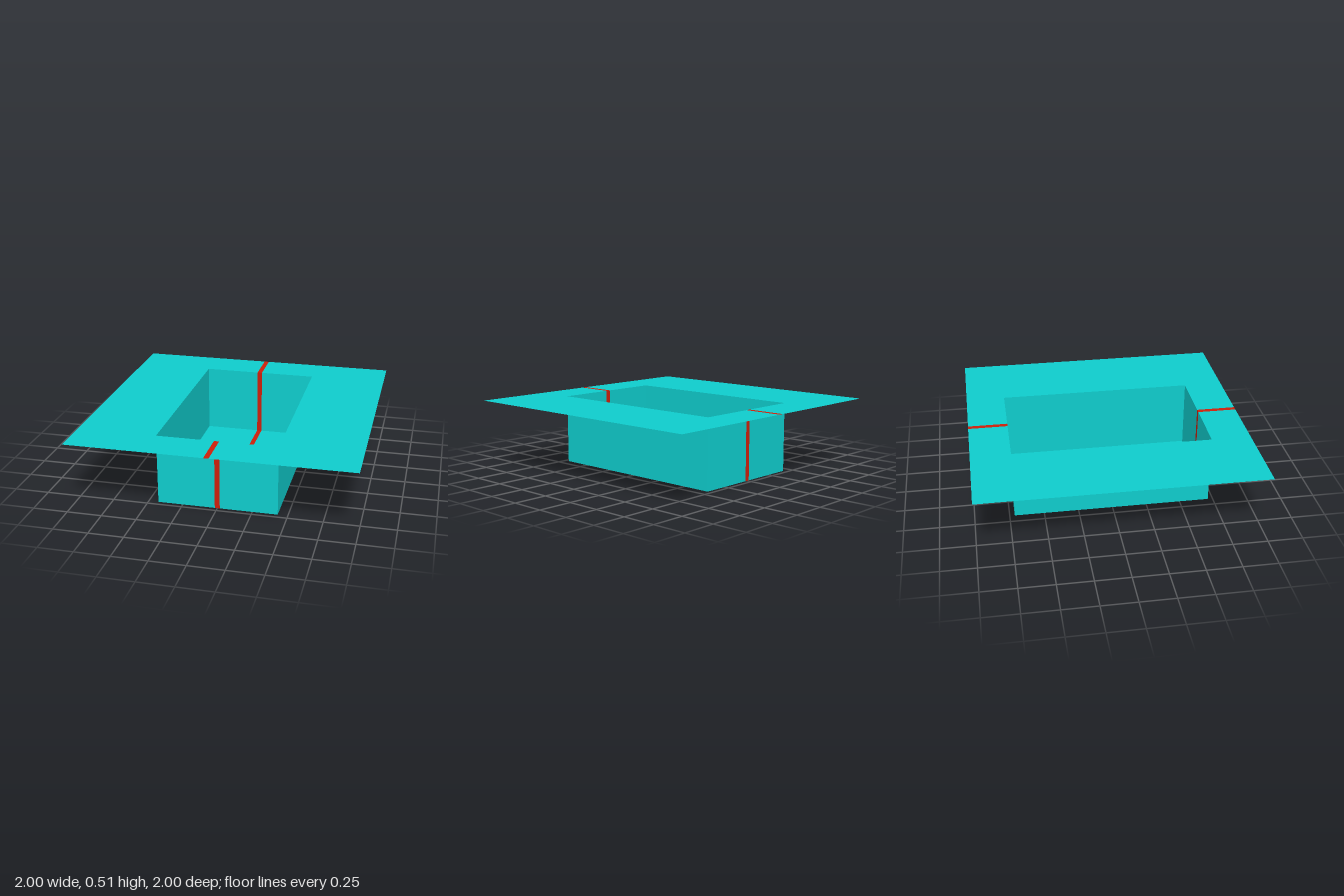
import * as THREE from 'three';

// Overall sizes: outer half-size, opening half-sizes, depth, stripe half-width
const R = 1, HX = 0.429, HZ = 0.714, H = 0.51, S = 0.018;

export function createModel() {
  const model = new THREE.Group();
  model.name = 'sheetTray';

  const teal = new THREE.MeshStandardMaterial({ color: 0x0fcccc, side: THREE.DoubleSide });
  teal.name = 'teal';
  const red = new THREE.MeshStandardMaterial({ color: 0xcc1f0a, side: THREE.DoubleSide });
  red.name = 'red';

  // Flat sheet between two x values, lying flat (facing up) or standing (facing z)
  function flat(name, mat, x0, x1, z0, z1, y) {
    const m = new THREE.Mesh(new THREE.PlaneGeometry(x1 - x0, z1 - z0).rotateX(-Math.PI / 2), mat);
    m.position.set((x0 + x1) / 2, y, (z0 + z1) / 2);
    m.name = name;
    model.add(m);
  }
  function upright(name, mat, x0, x1, z) {
    const geo = new THREE.PlaneGeometry(x1 - x0, H);
    if (z < 0) geo.rotateY(Math.PI);
    const m = new THREE.Mesh(geo, mat);
    m.position.set((x0 + x1) / 2, H / 2, z);
    m.name = name;
    model.add(m);
  }

  // Each lengthwise strip of the tray: right half, centre stripe, left half
  const strips = [
    ['right', teal, -HX, -S],
    ['stripe', red, -S, S],
    ['left', teal, S, HX],
  ];
  for (const [side, mat, x0, x1] of strips) {
    flat(side + 'Floor', mat, x0, x1, -HZ, HZ, 0);
    for (const [end, s] of [['Front', 1], ['Back', -1]]) {
      upright(side + end + 'Wall', mat, x0, x1, s * HZ);
      flat(side + end + 'Rim', mat, x0, x1, s > 0 ? HZ : -R, s > 0 ? R : -HZ, H);
    }
  }

  // Long side walls and the side parts of the rim
  for (const [side, s] of [['left', 1], ['right', -1]]) {
    const wall = new THREE.Mesh(new THREE.PlaneGeometry(2 * HZ, H).rotateY(s * Math.PI / 2), teal);
    wall.position.set(s * HX, H / 2, 0);
    wall.name = side + 'SideWall';
    model.add(wall);
    flat(side + 'SideRim', teal, s > 0 ? HX : -R, s > 0 ? R : -HX, -R, R, H);
  }

  return model;
}
